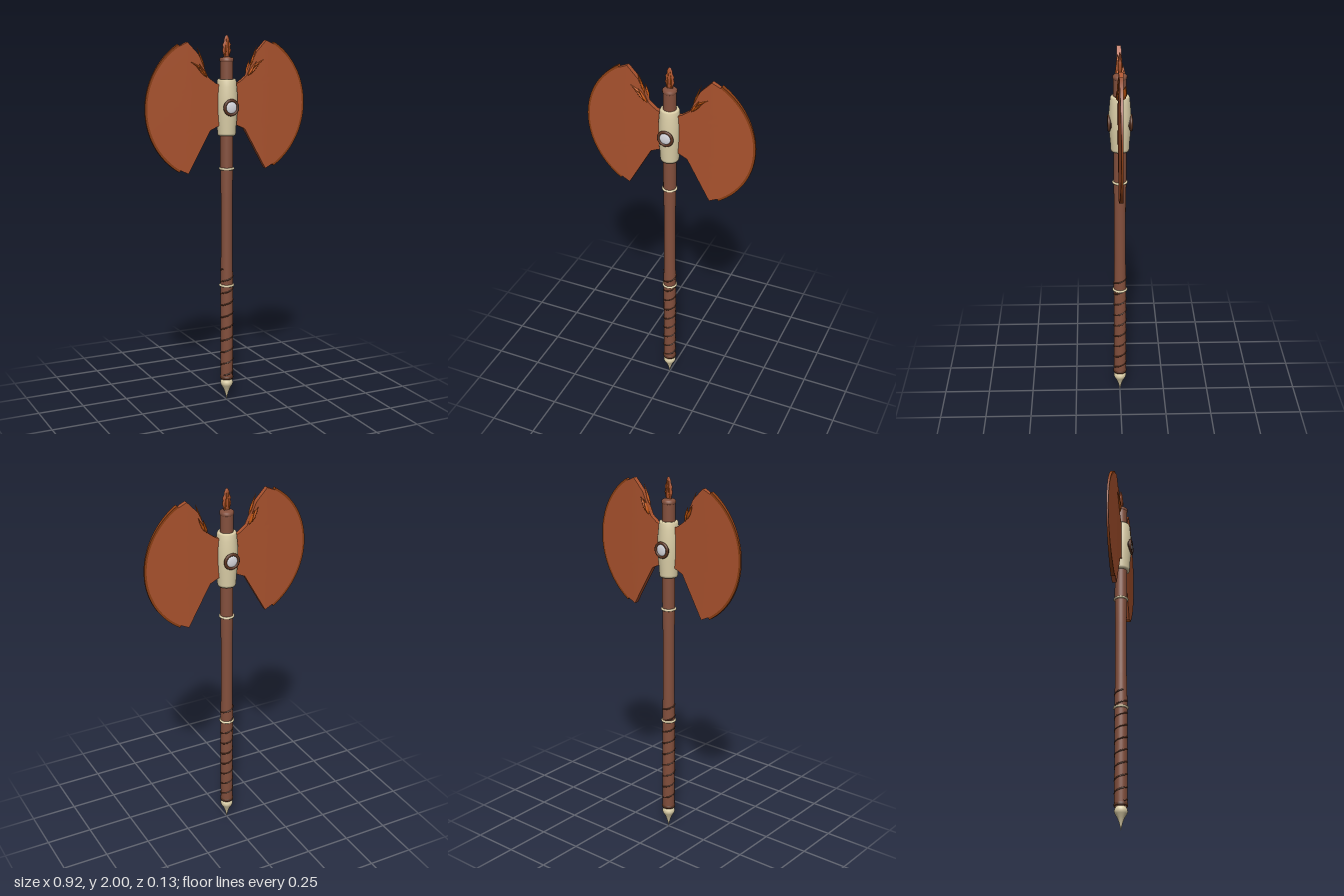
import * as THREE from 'three';

const mat = (name, color) => {
  const m = new THREE.MeshStandardMaterial({ color });
  m.name = name;
  return m;
};

// Piecewise-linear lookup in rows of [key, x, y]
function lookup(rows, v) {
  let i = 1;
  while (i < rows.length - 1 && v > rows[i][0]) i++;
  const [a, b] = [rows[i - 1], rows[i]];
  const t = (v - a[0]) / (b[0] - a[0]);
  return [a[1] + (b[1] - a[1]) * t, a[2] + (b[2] - a[2]) * t];
}

// Blade slab: a box grid bent to run from start(v) to end(v), thinning outwards
function bladeSlab(start, end, columns) {
  const g = new THREE.BoxGeometry(1, 1, 1, columns, 40, 1);
  const pos = g.attributes.position;
  for (let i = 0; i < pos.count; i++) {
    const u = pos.getX(i) + 0.5, v = pos.getY(i) + 0.5;
    const [ax, ay] = start(v), [bx, by] = end(v);
    const x = ax + (bx - ax) * u;
    const half = 0.0125 - 0.0075 * THREE.MathUtils.clamp((x - 0.22) / 0.24, 0, 1);
    pos.setXYZ(i, x, ay + (by - ay) * u, Math.sign(pos.getZ(i)) * half);
  }
  g.computeVertexNormals();
  return g;
}

export function createModel() {
  const group = new THREE.Group();
  const wood = mat('brown wood', 0x84503d);
  const darkWood = mat('dark leather', 0x5a3422);
  const bone = mat('pale bone', 0xdccfa8);
  const copper = mat('copper blade', 0xab532e);
  const edge = mat('dark copper edge', 0x8c3f14);
  const orange = mat('burnt orange', 0xc4560f);
  const pearl = mat('pearl', 0xdcdce2);

  const add = (name, geometry, material, parent = group) => {
    const mesh = new THREE.Mesh(geometry, material);
    mesh.name = name;
    parent.add(mesh);
    return mesh;
  };
  const lathe = (pts, seg = 32) =>
    new THREE.LatheGeometry(pts.map(([r, y]) => new THREE.Vector2(r, y)), seg);

  // Shaft, with slightly fuller ends
  add('shaft', lathe([[0, 0.125], [0.034, 0.125], [0.034, 0.7], [0.031, 0.85], [0.031, 1.15],
    [0.034, 1.3], [0.034, 1.875]]), wood);
  add('shaftCap', lathe([[0.034, 1.862], [0.037, 1.866], [0.037, 1.878], [0.03, 1.884], [0, 1.89]]), wood);
  add('shaftFoot', lathe([[0, 0.127], [0.036, 0.127], [0.037, 0.133], [0.036, 0.142], [0.033, 0.144]]), darkWood);
  add('buttSpike', lathe([[0, 0], [0.005, 0.025], [0.01, 0.045], [0.02, 0.07], [0.031, 0.088], [0.035, 0.1],
    [0.033, 0.112], [0.024, 0.13], [0, 0.131]]), bone);

  // Bone rings
  for (const y of [0.66, 1.3]) {
    const ring = add('shaftRing', new THREE.TorusGeometry(0.035, 0.0065, 10, 32), bone);
    ring.rotation.x = Math.PI / 2;
    ring.position.y = y;
  }

  // Spiral grip cord
  const helix = [];
  for (let i = 0; i <= 162; i++) {
    const t = (i / 18) * Math.PI * 2 - 1;
    helix.push(new THREE.Vector3(Math.sin(t) * 0.0325, 0.15 + (i / 162) * 0.605, Math.cos(t) * 0.0325));
  }
  add('gripCord', new THREE.TubeGeometry(new THREE.CatmullRomCurve3(helix), 324, 0.0045, 6), darkWood);

  // Socket that holds the blades
  add('socket', lathe([[0.034, 1.478], [0.047, 1.478], [0.049, 1.49], [0.05, 1.52], [0.055, 1.57],
    [0.058, 1.63], [0.057, 1.69], [0.053, 1.735], [0.05, 1.765], [0.046, 1.772], [0.034, 1.772]], 40), bone);

  // Medallion on each face of the socket
  for (const s of [1, -1]) {
    const medallion = new THREE.Group();
    medallion.name = s > 0 ? 'frontMedallion' : 'backMedallion';
    const seat = add('medallionSeat', new THREE.CylinderGeometry(0.038, 0.038, 0.016, 28), darkWood, medallion);
    seat.rotation.x = Math.PI / 2;
    seat.position.z = 0.05;
    const rim = add('medallionRim', new THREE.TorusGeometry(0.037, 0.008, 10, 32), darkWood, medallion);
    rim.position.z = 0.057;
    const gem = add('medallionGem', new THREE.SphereGeometry(0.031, 24, 12), pearl, medallion);
    gem.scale.z = 0.2;
    gem.position.z = 0.058;
    medallion.position.y = 1.628;
    medallion.rotation.y = s > 0 ? 0 : Math.PI;
    group.add(medallion);
  }

  // Blade outlines: notched inner side and circular cutting edge
  const innerRows = [[0, 0.225, 1.287], [0.3, 0.1, 1.508], [0.375, 0.045, 1.533], [0.6, 0.045, 1.745],
    [0.65, 0.07, 1.755], [0.7, 0.11, 1.785], [0.9, 0.165, 1.905], [1, 0.225, 1.968]];
  const inner = (v) => lookup(innerRows, v);
  const arc = (r) => (v) => {
    const a = (v - 0.5) * 2.04;
    return [0.073 + r * Math.cos(a), 1.628 + r * Math.sin(a)];
  };
  const plate = bladeSlab(inner, arc(0.375), 14);
  const rimBand = bladeSlab(arc(0.375), arc(0.387), 1);

  // Tapered plume between two points
  const up = new THREE.Vector3(0, 1, 0);
  const plume = (a, b, r, parent) => {
    const p = new THREE.Vector3(...a), q = new THREE.Vector3(...b);
    const len = p.distanceTo(q);
    const g = lathe([[0, 0], [r * 0.7, len * 0.12], [r, len * 0.35], [r * 0.6, len * 0.7], [0, len]], 8);
    g.scale(0.6, 1, 1);
    const m = add('plume', g, orange, parent);
    m.position.copy(p);
    m.quaternion.setFromUnitVectors(up, q.sub(p).normalize());
  };
  const plumes = [
    [[0.118, 1.785, 0.012], [0.165, 1.86, 0.018], 0.011],
    [[0.125, 1.79, 0.014], [0.185, 1.85, 0.018], 0.009],
    [[0.145, 1.83, 0.012], [0.21, 1.868, 0.013], 0.009],
    [[0.13, 1.83, 0.01], [0.172, 1.945, 0.008], 0.009],
    [[0.12, 1.79, -0.015], [0.145, 1.87, -0.027], 0.012],
    [[0.13, 1.8, -0.016], [0.17, 1.88, -0.022], 0.012],
  ];
  for (const s of [1, -1]) {
    const side = new THREE.Group();
    side.name = s > 0 ? 'leftBlade' : 'rightBlade';
    add('bladePlate', plate, copper, side);
    add('cuttingEdge', rimBand, edge, side);
    side.rotation.y = s > 0 ? 0 : Math.PI;
    group.add(side);
    const tuft = new THREE.Group();
    tuft.name = s > 0 ? 'leftPlumes' : 'rightPlumes';
    for (const [a, b, r] of plumes) plume([a[0] * s, a[1], a[2]], [b[0] * s, b[1], b[2]], r, tuft);
    group.add(tuft);
  }

  // Flattened finial at the top, with small plumes on it
  const finial = lathe([[0, 1.88], [0.016, 1.882], [0.019, 1.9], [0.025, 1.92], [0.021, 1.937], [0.024, 1.95],
    [0.016, 1.965], [0.014, 1.982], [0.007, 1.996], [0, 2]], 20);
  finial.scale(1, 1, 0.42);
  add('finial', finial, copper);
  for (const x of [1, -1]) {
    for (const z of [1, -1]) plume([0.012 * x, 1.885, 0.004 * z], [0.004 * x, 1.985, 0.007 * z], 0.008, group);
  }
  return group;
}
